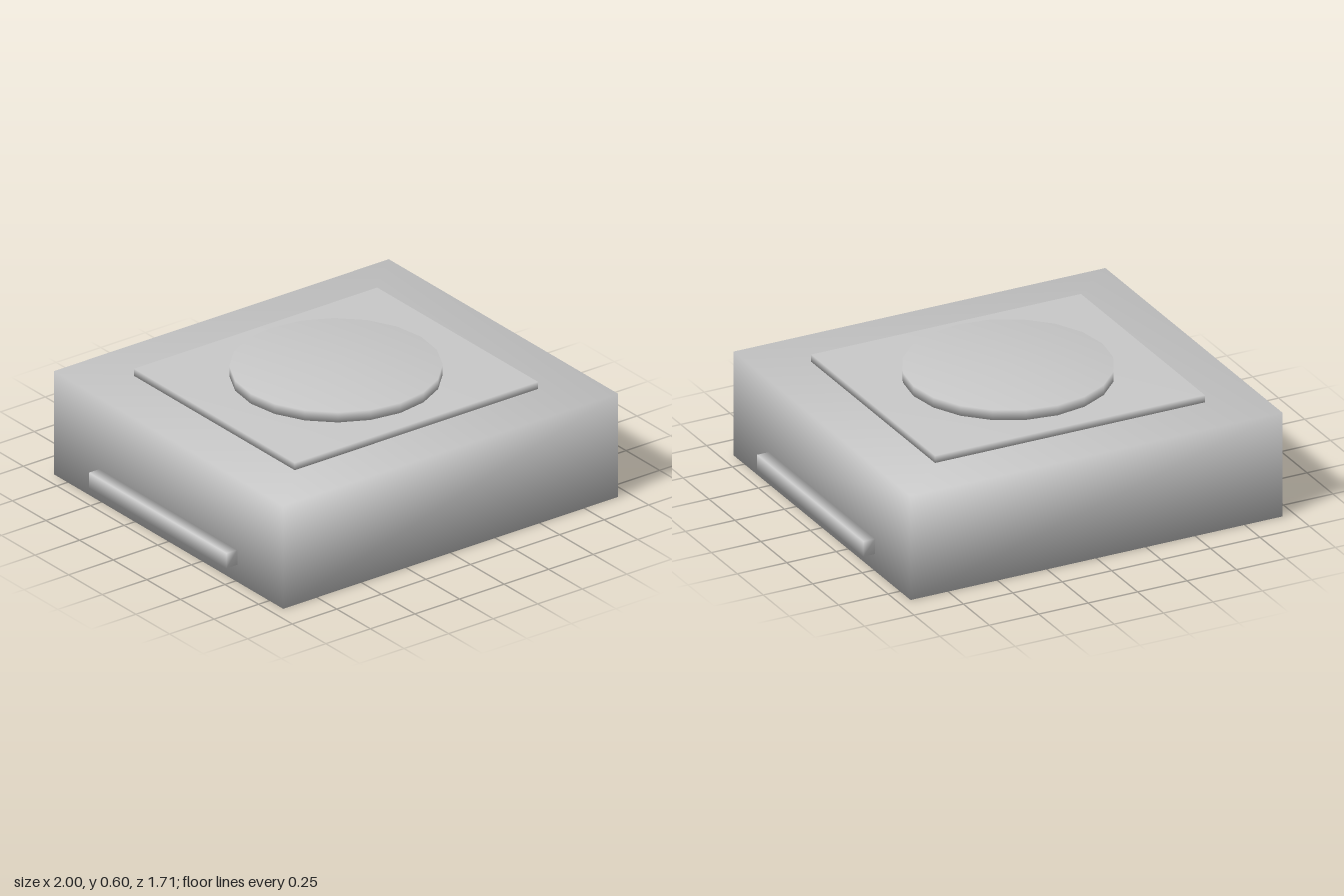
import * as THREE from 'three';
import { mergeVertices } from 'three/addons/utils/BufferGeometryUtils.js';

// Weld shared corners so shading runs smoothly over every edge
function welded(geometry) {
  geometry.deleteAttribute('normal');
  geometry.deleteAttribute('uv');
  const smooth = mergeVertices(geometry, 1e-4);
  smooth.computeVertexNormals();
  return smooth;
}

export function createModel() {
  const model = new THREE.Group();
  model.name = 'pedestalBlock';
  const grey = new THREE.MeshStandardMaterial({ color: 0xc8c8c8 });
  grey.name = 'light grey';

  const add = (name, geometry, x, y, z) => {
    const mesh = new THREE.Mesh(welded(geometry), grey);
    mesh.name = name;
    mesh.position.set(x, y, z);
    model.add(mesh);
  };

  // Main block standing on the ground
  add('body', new THREE.BoxGeometry(1.88, 0.515, 1.706), 0, 0.2575, 0);

  // Raised rectangular plate and the 20-sided disc on it
  add('topPlate', new THREE.BoxGeometry(1.364, 0.036, 1.194), 0, 0.533, 0);
  add('topDisc', new THREE.CylinderGeometry(0.478, 0.478, 0.05, 20), 0, 0.576, 0);

  // Rails along both lower sides
  for (const [name, side] of [['leftRail', 1], ['rightRail', -1]]) {
    add(name, new THREE.BoxGeometry(0.06, 0.075, 1.024), side * 0.97, 0.1225, 0);
  }

  return model;
}
